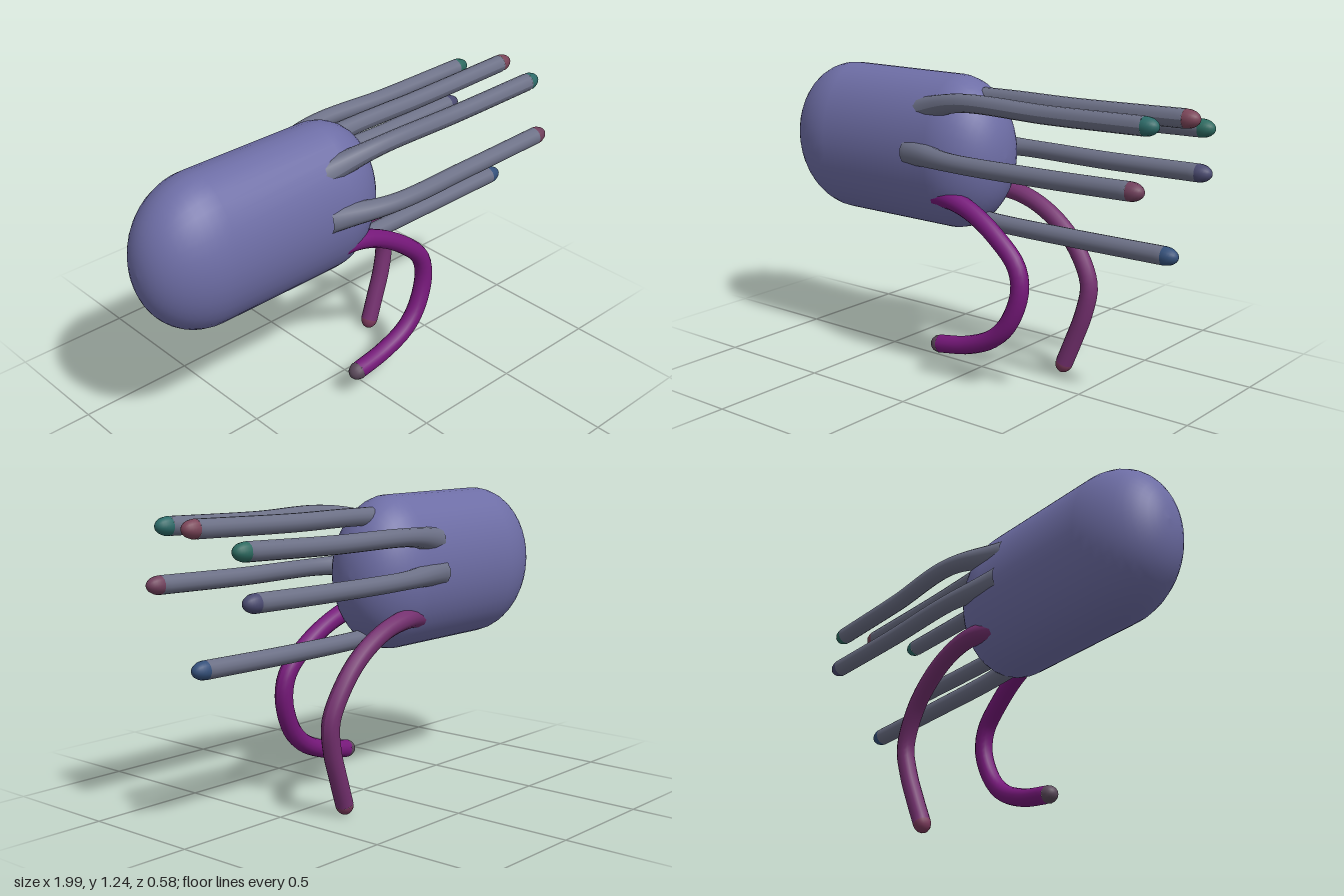
import * as THREE from 'three';

const V = (p) => new THREE.Vector3(...p);
const mat = (color) => new THREE.MeshStandardMaterial({ color });

const bodyMat = mat(0x6e6ea6);
const armMat = mat(0x6c7086);
const legMat = mat(0x76187a);

// Tapering tube along a curve, flared at the root, closed by a rounded tip
function limb(name, points, rRoot, r, tipLength, material, tipColor) {
  const group = new THREE.Group();
  group.name = name;
  const curve = new THREE.CatmullRomCurve3(points.map(V), false, 'centripetal');
  const rows = 40, sides = 14;
  const geo = new THREE.TubeGeometry(curve, rows, 1, sides, false);
  const pos = geo.attributes.position;
  const v = new THREE.Vector3();
  for (let i = 0; i <= rows; i++) {
    const u = i / rows;
    const c = curve.getPointAt(u);
    const flare = Math.max(0, 1 - u / 0.3);
    const radius = r + (rRoot - r) * flare * flare;
    for (let j = 0; j <= sides; j++) {
      const k = i * (sides + 1) + j;
      v.fromBufferAttribute(pos, k).sub(c).multiplyScalar(radius).add(c);
      pos.setXYZ(k, v.x, v.y, v.z);
    }
  }
  geo.computeVertexNormals();
  const tube = new THREE.Mesh(geo, material);
  tube.name = name + 'Tube';

  const tip = new THREE.Mesh(
    new THREE.SphereGeometry(r, sides, 8, 0, Math.PI * 2, 0, Math.PI / 2).scale(1, tipLength / r, 1),
    mat(tipColor));
  tip.name = name + 'Tip';
  tip.position.copy(curve.getPointAt(1));
  tip.quaternion.setFromUnitVectors(new THREE.Vector3(0, 1, 0), curve.getTangentAt(1));
  group.add(tube, tip);
  return group;
}

// Capsule body: a lathe laid along x and squashed to an oval section
function body() {
  const profile = [];
  const cap = (xEnd, xFull, power, rising) => {
    for (let i = 0; i <= 12; i++) {
      const a = (rising ? i : 12 - i) / 12 * Math.PI / 2;
      profile.push(new THREE.Vector2(
        Math.pow(Math.sin(a), power), xFull + (xEnd - xFull) * Math.cos(a)));
    }
  };
  cap(-1, -0.71, 0.95, true);
  cap(0.11, -0.14, 0.95, false);
  const geo = new THREE.LatheGeometry(profile, 36);
  geo.rotateZ(-Math.PI / 2).scale(1, 0.322, 0.225).translate(0, 0.925, -0.02);
  const mesh = new THREE.Mesh(geo, bodyMat);
  mesh.name = 'body';
  return mesh;
}

export function createModel() {
  const model = new THREE.Group();
  model.name = 'tentacledCapsule';
  model.add(body());

  // Straight arms: root [y, z], middle [y, z], tip [y, z], end x, tip colour
  const arms = [
    ['upperFrontArm', [1.1, 0.1], [1.165, 0.165], [1.175, 0.18], 0.94, 0x2c6a68],
    ['topArm', [1.14, -0.03], [1.165, -0.03], [1.18, -0.02], 0.99, 0x7a4458],
    ['upperBackArm', [1.06, -0.17], [1.095, -0.25], [1.11, -0.225], 0.94, 0x2c6a60],
    ['lowerBackArm', [0.93, -0.2], [0.925, -0.25], [0.93, -0.25], 0.92, 0x4a4a70],
    ['lowerFrontArm', [0.94, 0.16], [0.94, 0.24], [0.95, 0.25], 0.93, 0x70405c],
    ['bottomArm', [0.68, -0.02], [0.66, 0.0], [0.66, 0.005], 0.935, 0x34507a],
  ];
  for (const [name, a, b, c, end, color] of arms) {
    const x = end - 0.06;
    model.add(limb(name, [
      [-0.24, ...a],
      [0.02, ...b],
      [0.45, (b[0] + c[0]) / 2 - 0.004, (b[1] + c[1]) / 2],
      [x, ...c],
    ], 0.06, 0.037, 0.06, armMat, color));
  }

  // Curled hanging tentacles
  model.add(limb('frontTentacle', [
    [-0.26, 0.74, 0.1], [-0.1, 0.765, 0.13], [0.05, 0.725, 0.135], [0.2, 0.635, 0.145],
    [0.295, 0.54, 0.15], [0.315, 0.44, 0.155], [0.265, 0.3, 0.165], [0.19, 0.225, 0.17],
    [0.06, 0.17, 0.17], [-0.08, 0.145, 0.172],
  ], 0.055, 0.038, 0.045, legMat, 0x5c4a5c));
  model.add(limb('backTentacle', [
    [-0.22, 0.74, -0.13], [-0.05, 0.755, -0.19], [0.1, 0.725, -0.2], [0.24, 0.65, -0.2],
    [0.34, 0.55, -0.198], [0.41, 0.41, -0.19], [0.395, 0.29, -0.182], [0.35, 0.16, -0.175],
    [0.31, 0.055, -0.168],
  ], 0.055, 0.037, 0.045, mat(0x74306f), 0x7c3a5c));

  return model;
}
